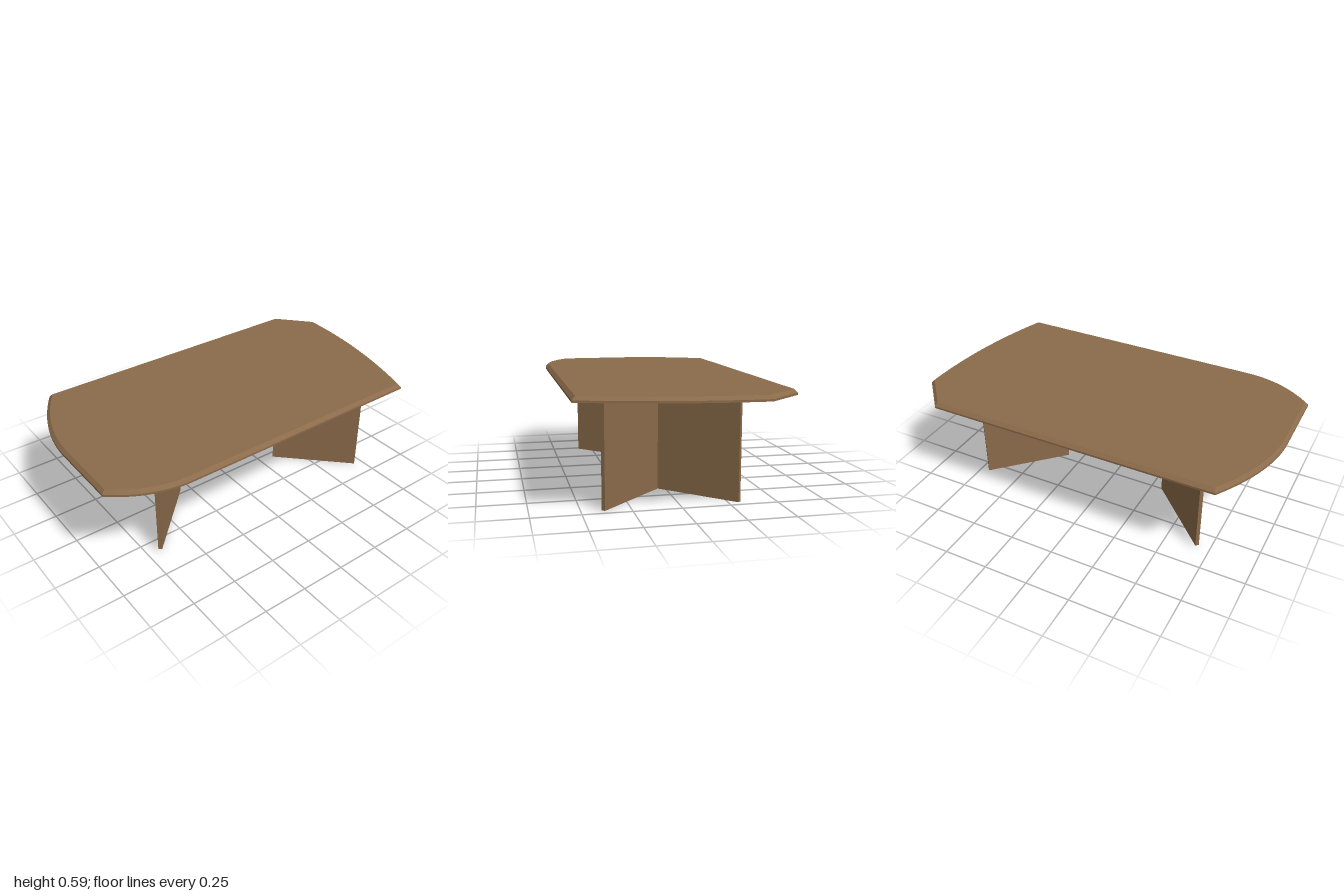
import * as THREE from 'three';
import { toCreasedNormals } from 'three/addons/utils/BufferGeometryUtils.js';

const wood = new THREE.MeshStandardMaterial({ color: 0x8b6b4a });
wood.name = 'brown wood';

// Tabletop outline, drawn in (x, -z), counter-clockwise from above
function topOutline() {
  const s = new THREE.Shape();
  s.moveTo(-0.81, 0.555);
  s.quadraticCurveTo(-1, 0.27, -1, 0);
  s.lineTo(-1, -0.39);
  s.quadraticCurveTo(-0.82, -0.55, -0.6, -0.55);
  s.lineTo(0.84, -0.55);
  s.quadraticCurveTo(1, -0.1, 1, 0.36);
  s.lineTo(0.825, 0.555);
  return s.getPoints(24);
}

// Move every outline point inward by d, with mitred corners
function inset(pts, d) {
  const normal = (a, b) => new THREE.Vector2(a.y - b.y, b.x - a.x).normalize();
  return pts.map((p, i) => {
    const n1 = normal(pts.at(i - 1), p);
    const n2 = normal(p, pts[(i + 1) % pts.length]);
    const k = d / (1 + n1.dot(n2));
    return n1.add(n2).multiplyScalar(k).add(p);
  });
}

// Slab with a thin upright edge and a bevel up to a smaller top face
function makeTop() {
  const pts = topOutline();
  const inner = inset(pts, 0.018);
  const levels = [0.559, 0.57, 0.588];
  const geo = new THREE.ExtrudeGeometry(new THREE.Shape(pts), { depth: 1, steps: 2, bevelEnabled: false });
  const pos = geo.attributes.position;
  const v = new THREE.Vector2();
  for (let i = 0; i < pos.count; i++) {
    const level = Math.round(pos.getZ(i) * 2);
    v.set(pos.getX(i), pos.getY(i));
    if (level === 2) {
      const near = pts.findIndex((p) => p.distanceToSquared(v) < 1e-8);
      if (near >= 0) v.copy(inner[near]);
    }
    pos.setXYZ(i, v.x, v.y, levels[level]);
  }
  geo.rotateX(-Math.PI / 2);
  const mesh = new THREE.Mesh(toCreasedNormals(geo, 0.3), wood);
  mesh.name = 'tabletop';
  return mesh;
}

// Two panels meeting at a right angle; dir is the side the V opens to
function makeLeg(name, dir, apexX, apexZ, bottom, height) {
  const len = 0.357, t = 0.0145; // reach of each panel, half its diagonal thickness
  const corners = [
    [0, 0], [len, -len], [len + t, t - len], [2 * t, 0], [len + t, len - t], [len, len],
  ].map(([x, y]) => new THREE.Vector2(dir * x, y));
  const geo = new THREE.ExtrudeGeometry(new THREE.Shape(corners), { depth: height, bevelEnabled: false });
  geo.rotateX(-Math.PI / 2);
  const mesh = new THREE.Mesh(geo, wood);
  mesh.name = name;
  mesh.position.set(apexX, bottom, apexZ);
  return mesh;
}

export function createModel() {
  const table = new THREE.Group();
  table.name = 'table';
  table.add(
    makeTop(),
    makeLeg('leftLeg', 1, 0.34, 0.04, 0, 0.546),
    makeLeg('rightLeg', -1, -0.317, -0.013, 0.012, 0.548),
  );
  return table;
}
